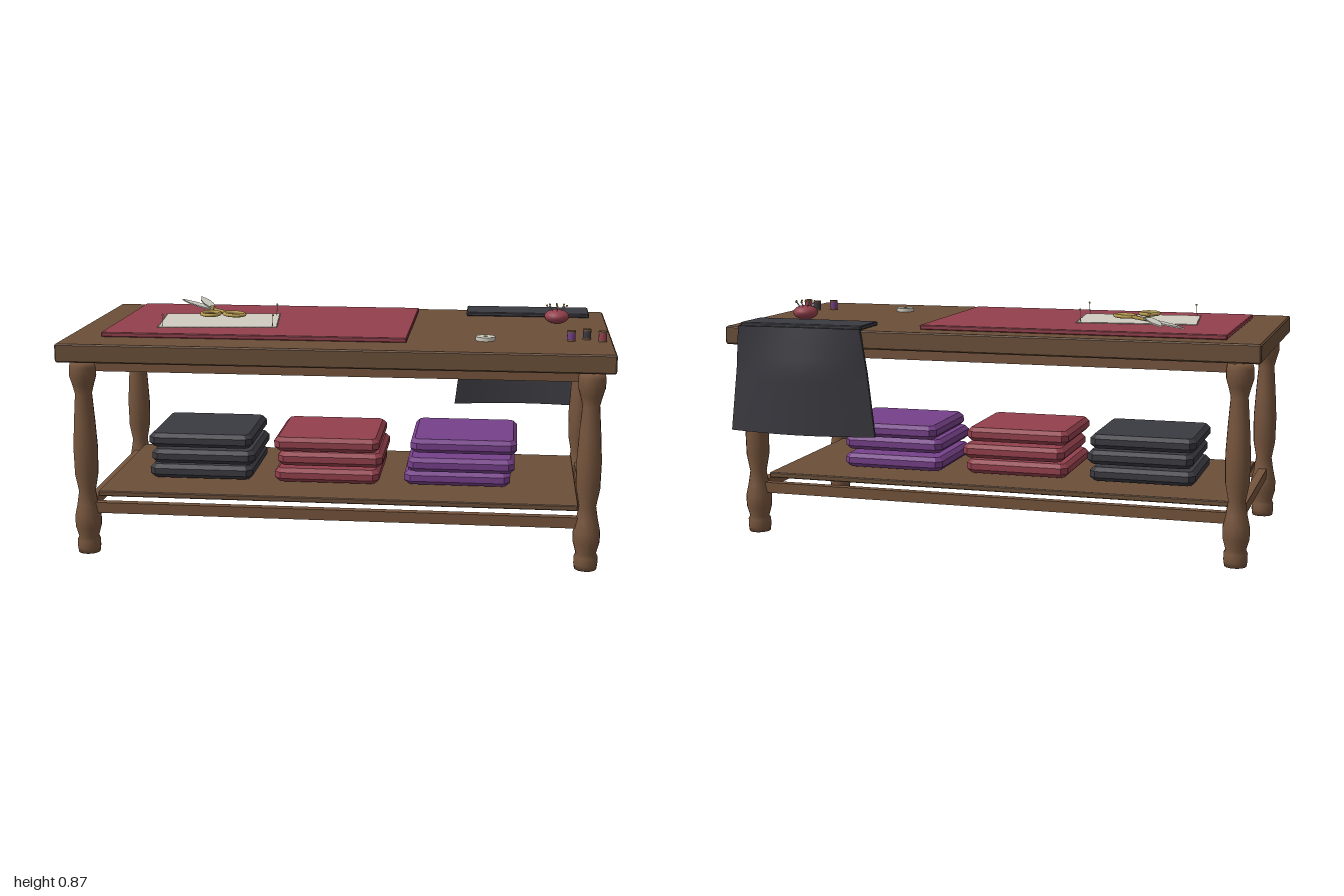
import * as THREE from 'three';

const mat = (name, color, side = THREE.FrontSide) => {
  const m = new THREE.MeshStandardMaterial({ color, side });
  m.name = name;
  return m;
};

export function createModel() {
  const wood = mat('wood', 0x6b4f38);
  const legWood = mat('turned wood', 0x75543c);
  const red = mat('red cloth', 0x93404c);
  const dark = mat('charcoal cloth', 0x3a3a41, THREE.DoubleSide);
  const purple = mat('purple cloth', 0x764089);
  const paper = mat('paper', 0xd0ccc1);
  const steel = mat('steel', 0xc6c4bb);
  const brass = mat('brass', 0xb3984f);

  const root = new THREE.Group();
  root.name = 'sewingTable';
  const group = (name, parent = root) => {
    const g = new THREE.Group();
    g.name = name;
    parent.add(g);
    return g;
  };
  const add = (name, geo, material, x = 0, y = 0, z = 0, parent = root) => {
    const m = new THREE.Mesh(geo, material);
    m.name = name;
    m.position.set(x, y, z);
    parent.add(m);
    return m;
  };
  // Flat outline given as [x, z] pairs, raised to a plate standing on y = 0
  const plate = (points, h, bevel = 0) => {
    const shape = new THREE.Shape(points.map(([x, z]) => new THREE.Vector2(x, -z)));
    const geo = new THREE.ExtrudeGeometry(shape, {
      depth: h - 2 * bevel, bevelEnabled: bevel > 0, bevelSegments: 1,
      bevelSize: bevel, bevelThickness: bevel,
    });
    return geo.translate(0, 0, bevel).rotateX(-Math.PI / 2);
  };
  // Slab with bevelled rims and cut corners
  const slab = (w, h, d, bevel, cut) => {
    const a = w / 2 - bevel, b = d / 2 - bevel;
    return plate([[a, b - cut], [a - cut, b], [cut - a, b], [-a, b - cut],
      [-a, cut - b], [cut - a, -b], [a - cut, -b], [a, cut - b]], h, bevel);
  };
  // Thin round bar between two points
  const rod = (name, a, b, r, material, parent) => {
    const p = new THREE.Vector3(...a), q = new THREE.Vector3(...b);
    const dir = q.clone().sub(p);
    const m = add(name, new THREE.CylinderGeometry(r, r, dir.length(), 6), material, 0, 0, 0, parent);
    m.position.copy(p).add(q).multiplyScalar(0.5);
    m.quaternion.setFromUnitVectors(new THREE.Vector3(0, 1, 0), dir.normalize());
  };
  const pin = (a, b, parent) => {
    rod('pinShaft', a, b, 0.0013, steel, parent);
    add('pinHead', new THREE.SphereGeometry(0.004, 8, 6), brass, ...b, parent);
  };

  // Table frame: top, solid apron block, turned legs, lower rails and shelf
  add('tabletop', slab(2, 0.068, 0.956, 0.005, 0.002), wood, 0, 0.732, 0.02);
  add('apron', new THREE.BoxGeometry(1.77, 0.044, 0.804), legWood, 0, 0.711, 0.022);
  const profile = [[0, 0], [0.04, 0], [0.043, 0.02], [0.043, 0.048], [0.037, 0.06],
    [0.048, 0.1], [0.049, 0.14], [0.039, 0.185], [0.031, 0.235], [0.043, 0.3],
    [0.045, 0.4], [0.039, 0.5], [0.031, 0.605], [0.04, 0.64], [0.049, 0.67],
    [0.049, 0.705], [0.044, 0.725], [0, 0.725]].map(([r, y]) => new THREE.Vector2(r, y));
  const legGeo = new THREE.LatheGeometry(profile, 16);
  const legs = group('legs');
  const rails = group('rails');
  for (const z of [-0.378, 0.422]) {
    for (const x of [-0.92, 0.92]) add('leg', legGeo, legWood, x, 0, z, legs);
    add('longRail', new THREE.BoxGeometry(1.8, 0.04, 0.032), legWood, 0, 0.174, z, rails);
  }
  for (const x of [-0.92, 0.92])
    add('sideRail', new THREE.BoxGeometry(0.032, 0.04, 0.76), legWood, x, 0.174, 0.022, rails);
  add('shelf', slab(1.78, 0.02, 0.73, 0.003, 0.003), wood, 0, 0.203, 0.02);

  // Stacks of folded cloth, shifted a little layer by layer
  const foldGeo = slab(0.4, 0.053, 0.385, 0.015, 0.014);
  const stacks = [
    ['charcoal', dark, [[-0.538, 0.01], [-0.527, 0.02], [-0.538, 0.015]]],
    ['red', red, [[-0.051, 0.018], [-0.04, 0.007], [-0.051, 0.028]]],
    ['purple', purple, [[0.443, 0.003], [0.458, 0.043], [0.466, -0.002]]],
  ];
  for (const [name, material, layers] of stacks) {
    const g = group(name + 'Stack');
    layers.forEach(([x, z], i) => add('foldedCloth', foldGeo, material, x, 0.229 + i * 0.0615, z, g));
  }

  // Cloth spread on the table, with a pinned paper pattern
  add('spreadCloth', slab(1.13, 0.017, 0.71, 0.003, 0.003), red, -0.306, 0.801, -0.015);
  const w = 0.45, d = 0.318, outline = [];
  const corners = [[-w / 2, d / 2], [w / 2, d / 2], [w / 2, -d / 2], [-w / 2, -d / 2]];
  corners.forEach(([x, z], k) => {
    const [x2, z2] = corners[(k + 1) % 4], n = k % 2 ? 20 : 28;
    for (let i = 0; i < n; i++) {
      const t = i / n, s = i % 2 ? 0.975 : 1;
      const px = x + (x2 - x) * t, pz = z + (z2 - z) * t;
      outline.push(k % 2 ? [px * s, pz] : [px, pz * s]);
    }
  });
  add('paperPattern', plate(outline, 0.004), paper, -0.481, 0.817, 0.036).rotation.y = 0.112;
  const pins = group('patternPins');
  for (const [x, z] of [[-0.26, 0.157], [-0.285, -0.105], [-0.675, 0.19]])
    pin([x, 0.815, z], [x + 0.004, 0.864, z + 0.006], pins);

  // Open scissors
  const scissors = group('scissors');
  const pivot = [-0.545, -0.13];
  const arms = [
    { tip: [-0.722, -0.372], ring: [-0.437, -0.018], y: 0.834 },
    { tip: [-0.648, -0.406], ring: [-0.521, 0.024], y: 0.841 },
  ];
  for (const { tip, ring, y } of arms) {
    const dx = tip[0] - pivot[0], dz = tip[1] - pivot[1], len = Math.hypot(dx, dz);
    const at = (t, s) => [pivot[0] + dx * t - (dz / len) * s, pivot[1] + dz * t + (dx / len) * s];
    add('blade', plate([at(-0.06, -0.01), at(-0.06, 0.01), at(0.3, 0.019), at(0.65, 0.017),
      at(1, 0), at(0.65, -0.017), at(0.3, -0.019)].reverse(), 0.005), steel, 0, y, 0, scissors);
    const rx = ring[0] - pivot[0], rz = ring[1] - pivot[1], rl = Math.hypot(rx, rz);
    const end = 1 - 0.048 / rl;
    rod('shank', [pivot[0], y + 0.003, pivot[1]],
      [pivot[0] + rx * end, y + 0.003, pivot[1] + rz * end], 0.007, brass, scissors);
    const loop = new THREE.TorusGeometry(0.041, 0.0085, 8, 24).rotateX(Math.PI / 2).scale(1.15, 0.8, 0.85);
    add('fingerLoop', loop, brass, ring[0], y + 0.003, ring[1], scissors).rotation.y = Math.atan2(-rz, rx);
  }
  add('pivotScrew', new THREE.CylinderGeometry(0.01, 0.01, 0.018, 12), brass, pivot[0], 0.84, pivot[1], scissors);

  // Pincushion with a fan of pins
  const cushion = group('pincushion');
  cushion.position.set(0.807, 0.8, -0.155);
  add('cushion', new THREE.SphereGeometry(0.048, 20, 12).scale(1, 0.58, 1), red, 0, 0.028, 0, cushion);
  for (let i = 0; i < 9; i++) {
    const a = (i / 8) * Math.PI * 2, r = i === 8 ? 0 : 1;
    pin([0.02 * r * Math.cos(a), 0.045, 0.02 * r * Math.sin(a)],
      [0.038 * r * Math.cos(a), 0.07, 0.038 * r * Math.sin(a)], cushion);
  }

  // Thread spools
  for (const [x, z, material] of [[0.85, 0.226, purple], [0.908, 0.187, dark], [0.963, 0.226, red]]) {
    const spool = group('threadSpool');
    spool.position.set(x, 0.8, z);
    for (const y of [0.003, 0.035])
      add('spoolEnd', new THREE.CylinderGeometry(0.016, 0.016, 0.006, 14), legWood, 0, y, 0, spool);
    add('thread', new THREE.CylinderGeometry(0.0152, 0.0152, 0.028, 14), material, 0, 0.019, 0, spool);
  }

  // Coiled tape measure
  const tape = group('tapeMeasure');
  tape.position.set(0.54, 0.8, 0.244);
  add('coil', new THREE.CylinderGeometry(0.036, 0.036, 0.014, 18), paper, 0, 0.007, 0, tape);
  add('coilCentre', new THREE.CylinderGeometry(0.007, 0.007, 0.004, 10), brass, 0, 0.014, 0, tape);

  // Cloth draped over the back edge
  const drape = group('drapedCloth');
  add('drapeTop', slab(0.485, 0.015, 0.172, 0.003, 0.003), dark, 0.696, 0.802, -0.373, drape);
  const sheet = new THREE.BoxGeometry(1, 1, 1, 16, 10, 1);
  const p = sheet.attributes.position;
  for (let i = 0; i < p.count; i++) {
    const u = p.getX(i) * 2, v = 0.5 - p.getY(i);
    const z = -0.468 + Math.min(1, v * 2.5) * (0.016 - 0.04 * Math.cos(u * Math.PI / 2));
    p.setXYZ(i, 0.696 + u * (0.2425 + 0.047 * v), 0.806 - 0.4 * v, z + p.getZ(i) * 0.012);
  }
  sheet.computeVertexNormals();
  add('drapeFall', sheet, dark, 0, 0, 0, drape);
  return root;
}
